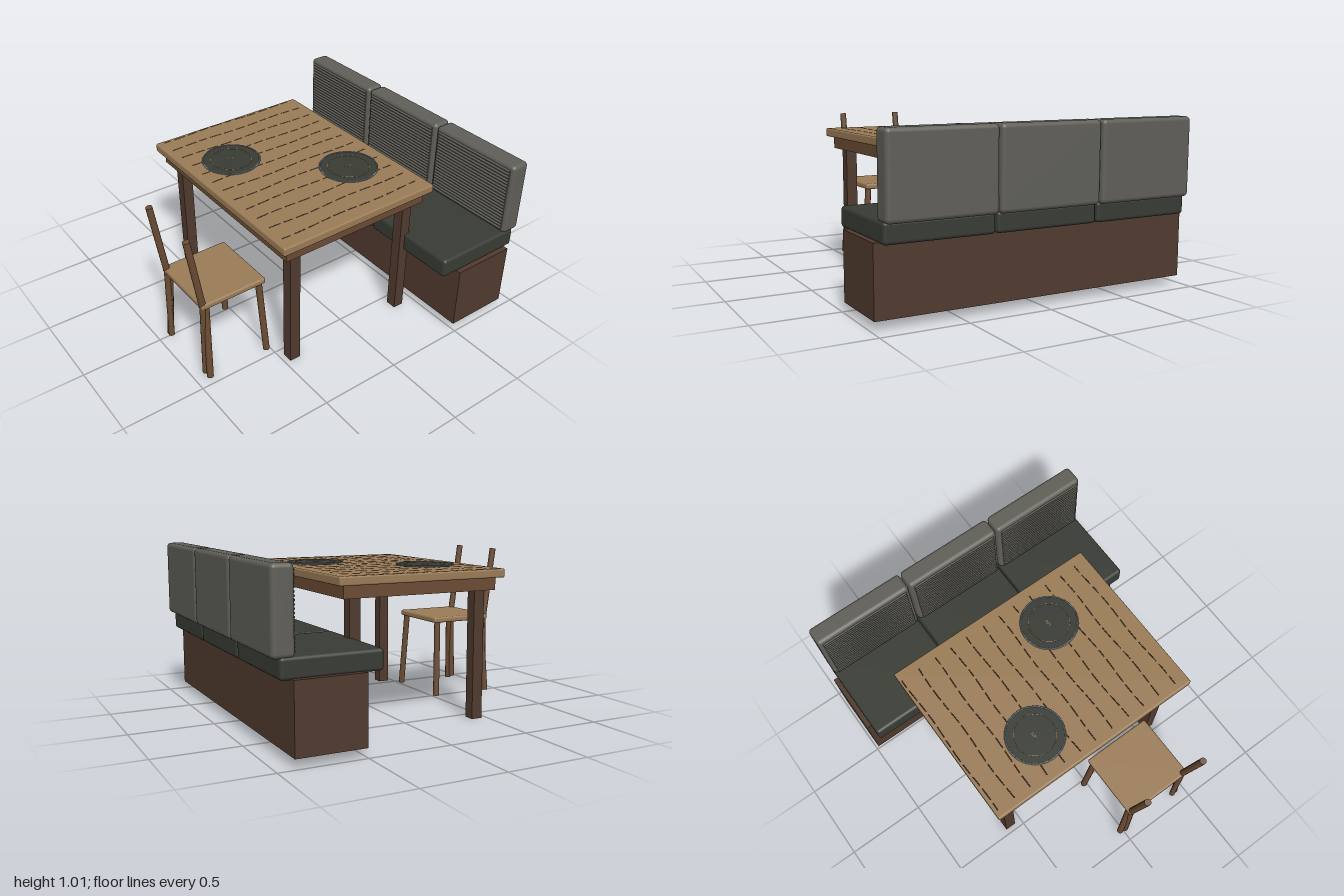
import * as THREE from 'three';
import { RoundedBoxGeometry } from 'three/addons/geometries/RoundedBoxGeometry.js';

const mat = (name, color, side = THREE.FrontSide) => {
  const m = new THREE.MeshStandardMaterial({ color, side });
  m.name = name;
  return m;
};

export function createModel() {
  const root = new THREE.Group();
  root.name = 'diningBooth';
  const oak = mat('oak', 0x9a7b56);
  const brown = mat('midBrownWood', 0x6b4c34);
  const walnut = mat('darkWalnut', 0x503a2e);
  const charcoal = mat('charcoalLeather', 0x383b34);
  const grey = mat('greyFabric', 0x5f5e57);
  const steel = mat('blueGreyRim', 0x6c7780);
  const grain = mat('woodGrain', 0x4a3a2c);

  const group = (name) => {
    const g = new THREE.Group();
    g.name = name;
    root.add(g);
    return g;
  };
  const add = (parent, name, geo, material, x = 0, y = 0, z = 0) => {
    const m = new THREE.Mesh(geo, material);
    m.name = name;
    m.position.set(x, y, z);
    parent.add(m);
    return m;
  };
  // Box given by its min and max corners, optionally rounded
  const box = (parent, name, material, a, b, r = 0) => {
    const s = a.map((v, i) => b[i] - v);
    const geo = r ? new RoundedBoxGeometry(...s, 3, r) : new THREE.BoxGeometry(...s);
    return add(parent, name, geo, material, ...a.map((v, i) => (v + b[i]) / 2));
  };
  // Round bar between two points
  const bar = (parent, name, material, a, b, r, sides = 12) => {
    const p = new THREE.Vector3(...a), q = new THREE.Vector3(...b);
    const d = q.clone().sub(p);
    const m = add(parent, name, new THREE.CylinderGeometry(r, r, d.length(), sides), material);
    m.position.copy(p).add(q).multiplyScalar(0.5);
    m.quaternion.setFromUnitVectors(new THREE.Vector3(0, 1, 0), d.normalize());
    return m;
  };

  // Table
  const table = group('table');
  const cx = -0.025;
  box(table, 'tableTop', oak, [-0.56, 0.85, -0.69], [0.51, 0.902, 0.69], 0.01);
  box(table, 'tableApron', brown, [-0.52, 0.776, -0.65], [0.47, 0.85, 0.65]);
  for (const sx of [-1, 1]) for (const sz of [-1, 1]) {
    const x = cx + sx * 0.408, z = sz * 0.58;
    box(table, 'tableLeg', walnut, [x - 0.034, 0, z - 0.034], [x + 0.034, 0.778, z + 0.034]);
  }

  // Broken wavy grain lines across the table top
  for (let row = 0; row < 12; row++) {
    const z0 = -0.67 + row * 0.1155;
    const wave = (x) => z0 + 0.005 * Math.sin(x * 11 + row * 1.7);
    let x = -0.515, i = 0;
    while (x < 0.44) {
      const end = Math.min(x + 0.05 + 0.03 * Math.abs(Math.sin(row * 2.3 + i * 1.9)), 0.45);
      const pts = [0, 0.5, 1].map((t) => {
        const px = x + (end - x) * t;
        return new THREE.Vector3(px, 0.9015, wave(px));
      });
      add(table, 'grainLine', new THREE.TubeGeometry(new THREE.CatmullRomCurve3(pts), 4, 0.003, 5), grain);
      x = end + 0.022;
      i++;
    }
  }

  // Round place settings
  for (const s of [-1, 1]) {
    const p = group('placeSetting');
    p.position.set(cx + s * 0.26, 0.902, s * 0.243);
    add(p, 'plate', new THREE.CylinderGeometry(0.172, 0.172, 0.006, 48), charcoal, 0, 0.003, 0);
    const ring = (name, r, t, m, y) => {
      add(p, name, new THREE.TorusGeometry(r, t, 6, 56), m, 0, y, 0).rotation.x = Math.PI / 2;
    };
    ring('plateRim', 0.173, 0.005, steel, 0.004);
    ring('plateInlay', 0.125, 0.002, oak, 0.006);
    for (const z of [-0.012, -0.002]) box(p, 'plateMark', oak, [-0.02, 0.005, z - 0.002], [0.02, 0.007, z + 0.002]);
  }

  // Bench with three seat and back cushions
  const bench = group('bench');
  box(bench, 'benchBase', walnut, [0.495, 0.05, -0.985], [0.9, 0.445, 0.985]);
  for (const k of [-1, 0, 1]) {
    const z = k * 0.64, h = 0.316;
    box(bench, 'seatCushion', charcoal, [0.385, 0.437, z - h], [0.96, 0.555, z + h], 0.02);
    box(bench, 'backCushion', grey, [0.875, 0.545, z - h], [1, 1.01, z + h], 0.025);
    // Ribbing on the face toward the table
    for (let i = 0; i < 20; i++) {
      const y = 0.575 + i * 0.021;
      bar(bench, 'backRib', grey, [0.875, y, z - 0.29], [0.875, y, z + 0.29], 0.009, 6);
    }
  }

  // Chair
  const chair = group('chair');
  const cz = 0.213;
  box(chair, 'chairSeat', oak, [-0.93, 0.49, cz - 0.222], [-0.508, 0.527, cz + 0.222], 0.012);
  for (const s of [-1, 1]) {
    const zi = cz + s * 0.198, zo = cz + s * 0.23;
    bar(chair, 'chairFrontLeg', brown, [-0.545, 0.5, zi], [-0.522, 0.004, zo], 0.02);
    bar(chair, 'chairBackLeg', brown, [-0.893, 0.5, zi], [-0.915, 0.004, zo], 0.02);
    bar(chair, 'chairLowerPost', brown, [-0.912, 0.52, zi], [-0.925, 0.02, zi], 0.018);
    bar(chair, 'chairBackPost', brown, [-0.98, 0.968, zi], [-0.912, 0.5, zi], 0.02);
  }
  return root;
}
